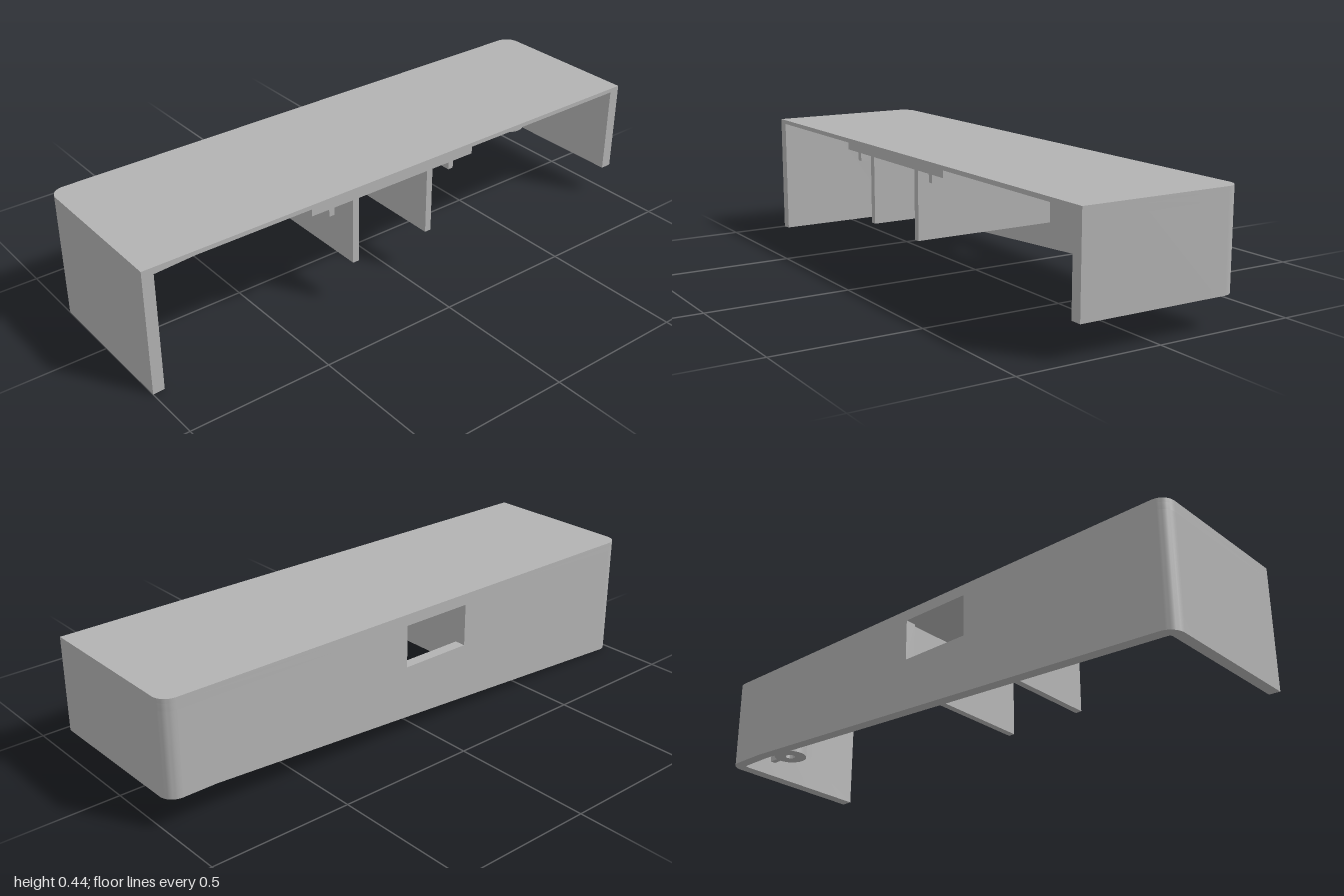
import * as THREE from 'three';
import { toCreasedNormals } from 'three/addons/utils/BufferGeometryUtils.js';

const X = 0.29, Z = 1, R = 0.05, WALL = 0.04;
const CEIL = 0.4, POCKET = 0.425, TOP = 0.44;

const grey = new THREE.MeshStandardMaterial({ color: 0xb2b2b2 });
grey.name = 'plain grey';

// height of the sloping lower rim
const rim = (z) => Math.min(0.11, (0.11 * (1 - z)) / 1.83);

function mesh(name, geometry) {
  const m = new THREE.Mesh(toCreasedNormals(geometry, 0.5), grey);
  m.name = name;
  return m;
}

function extrude(points, depth) {
  const shape = new THREE.Shape(points.map(([a, b]) => new THREE.Vector2(a, b)));
  return new THREE.ExtrudeGeometry(shape, { depth, bevelEnabled: false });
}

// upright prism from an outline of [x, z] points
function prism(points, y0, y1) {
  return extrude(points.map(([x, z]) => [x, -z]), y1 - y0)
    .rotateX(-Math.PI / 2)
    .translate(0, y0, 0);
}

// points on an arc in the [x, z] plane
function arc(cx, cz, r, from, to, n = 10) {
  return Array.from({ length: n + 1 }, (_, i) => {
    const a = from + ((to - from) * i) / n;
    return [cx + r * Math.cos(a), cz + r * Math.sin(a)];
  });
}

function box(name, x0, x1, y0, y1, z, thick) {
  const g = new THREE.BoxGeometry(x1 - x0, y1 - y0, thick);
  return mesh(name, g.translate((x0 + x1) / 2, (y0 + y1) / 2, z));
}

// rib standing out from a post, profile in [distance, y]
function rib(profile, angle, x, z) {
  const t = 0.02;
  return mesh('postRib', extrude(profile, t)
    .translate(0, 0, -t / 2).rotateY(angle).translate(x, 0, z));
}

// end wall with its rounded outer corner and small inner fillet
function endWall(s) {
  const outline = [
    [X, Z],
    ...arc(-X + R, Z - R, R, Math.PI / 2, Math.PI),
    ...arc(-X + R, Z - R, R - WALL, Math.PI, Math.PI / 2, 5),
    [X, Z - WALL],
  ].map(([x, z]) => [x, z * s]);
  const g = prism(outline, 0, CEIL);
  const p = g.attributes.position;
  for (let i = 0; i < p.count; i++) {
    if (p.getY(i) < 0.01) p.setY(i, rim(p.getZ(i)));
  }
  return mesh(s > 0 ? 'frontWall' : 'backWall', g);
}

// screw post with a blind hole and four ribs
function screwPost(s) {
  const group = new THREE.Group();
  group.name = s > 0 ? 'frontPost' : 'backPost';
  const x = -0.12, z = s > 0 ? 0.825 : -0.855;
  const profile = [[0, 0.38], [0.018, 0.38], [0.018, 0.16], [0.06, 0.16], [0.06, CEIL]]
    .map(([r, y]) => new THREE.Vector2(r, y));
  group.add(mesh('postTube', new THREE.LatheGeometry(profile, 32).translate(x, 0, z)));

  const gusset = [[0.04, 0.2], [0.06, 0.2], [0.125, CEIL], [0.04, CEIL]];
  const web = (end) => [[0.04, 0.165], [end, 0.165], [end, CEIL], [0.04, CEIL]];
  group.add(
    rib(gusset, 0, x, z),
    rib(gusset, (s * Math.PI) / 2, x, z),
    rib(web(0.132), Math.PI, x, z),
    rib(web(Z - WALL + 0.002 - Math.abs(z)), (-s * Math.PI) / 2, x, z),
  );
  return group;
}

export function createModel() {
  const model = new THREE.Group();
  model.name = 'halfCover';

  // rounded top, with two shallow pockets open to the left edge below it
  const corners = [
    ...arc(-X + R, Z - R, R, Math.PI / 2, Math.PI),
    ...arc(-X + R, -Z + R, R, Math.PI, Math.PI * 1.5),
  ];
  const px = 0.06, pz = Z - WALL;
  const pockets = [
    [X, -Z], [X, -pz], [px, -pz], [px, -0.27], [X, -0.27],
    [X, 0.4], [px, 0.4], [px, pz], [X, pz], [X, Z],
  ];
  model.add(
    mesh('topSkin', prism([...corners, [X, -Z], [X, Z]], POCKET, TOP)),
    mesh('pocketedCeiling', prism([...corners, ...pockets], CEIL, POCKET)),
  );

  // long side wall, outline in [z, y] with the window cut up to the ceiling
  const e = Z - R;
  const side = [
    [e, rim(e)], [e, CEIL], [0.2, CEIL], [0.2, 0.25], [-0.065, 0.25],
    [-0.065, CEIL], [-e, CEIL], [-e, 0.11], [-0.83, 0.11],
  ];
  model.add(mesh('sideWall',
    extrude(side, WALL).rotateY(-Math.PI / 2).translate(-X + WALL, 0, 0)));

  for (const s of [1, -1]) model.add(endWall(s), screwPost(s));

  // partitions beside the window, and small stop ribs at the open edge
  for (const z of [0.223, -0.087]) {
    model.add(box('partition', -X + WALL - 0.002, 0.285, 0.16, CEIL, z, 0.024));
  }
  for (const z of [0.32, -0.18]) {
    model.add(box('stopRib', 0.205, 0.285, 0.37, CEIL, z, 0.02));
  }
  return model;
}
